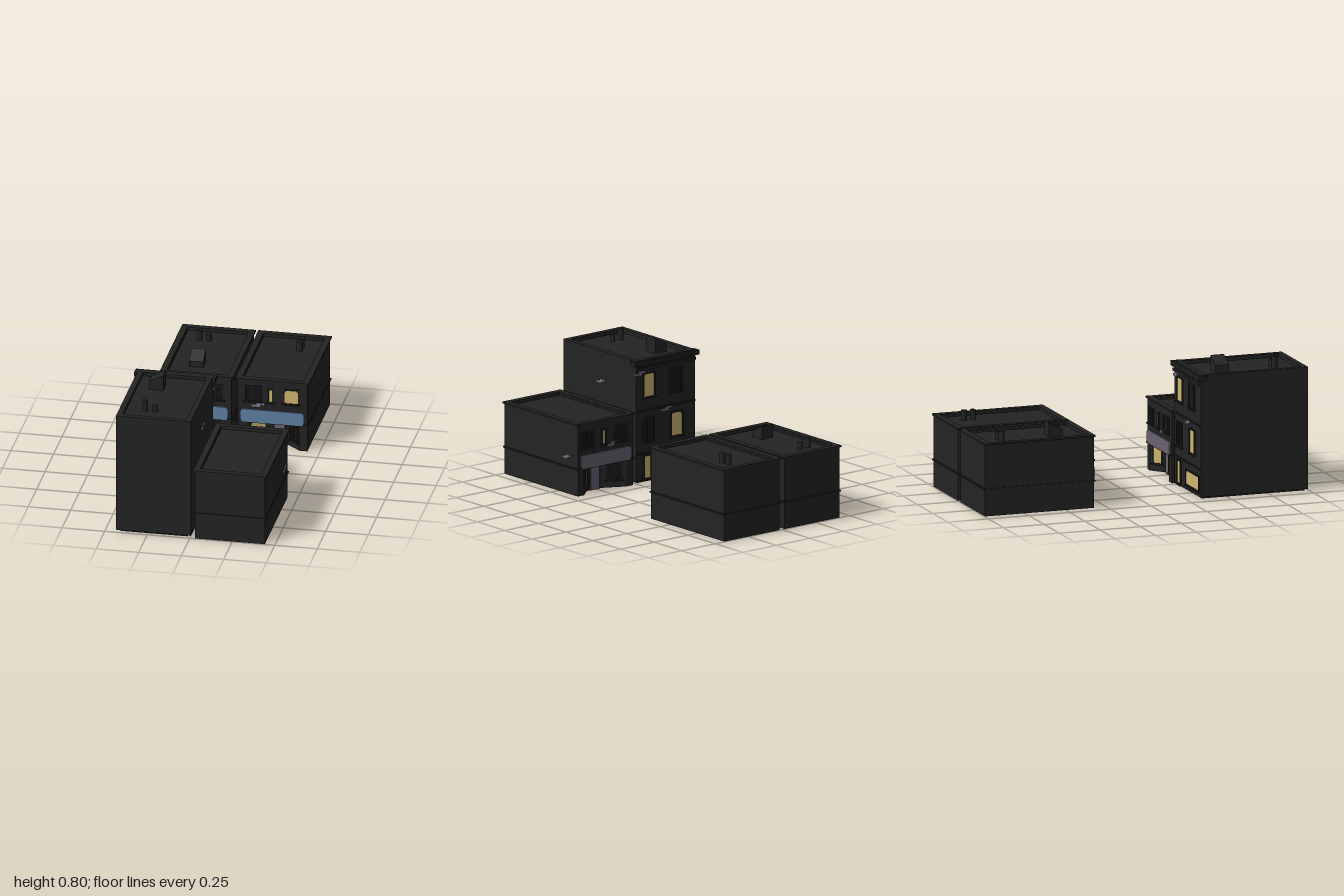
import * as THREE from 'three';

const mat = (name, color) => {
  const m = new THREE.MeshStandardMaterial({ color });
  m.name = name;
  return m;
};

export function createModel() {
  const M = {
    wall: mat('charcoal wall', 0x242424),
    trim: mat('dark trim', 0x1f1f1f),
    glass: mat('dark glass', 0x141414),
    light: mat('lit window', 0xd2b870),
    blue: mat('blue sign', 0x5f82a4),
    purple: mat('mauve sign', 0x6c6472),
    brick: mat('grey brick', 0x7c7a8a),
  };
  const root = new THREE.Group();
  root.name = 'streetBlock';

  const add = (parent, name, geo, m, x = 0, y = 0, z = 0) => {
    const mesh = new THREE.Mesh(geo, m);
    mesh.name = name;
    mesh.position.set(x, y, z);
    parent.add(mesh);
    return mesh;
  };
  const box = (parent, name, m, w, h, d, x, y, z) =>
    add(parent, name, new THREE.BoxGeometry(w, h, d), m, x, y, z);
  const extrude = (shape, depth) =>
    new THREE.ExtrudeGeometry(shape, { depth, bevelEnabled: false, curveSegments: 5 });
  const rect = (C, w, h) => new C([[-w, -h], [w, -h], [w, h], [-w, h]]
    .map(([x, y]) => new THREE.Vector2(x / 2, y / 2)));

  // Rectangular ring lying flat: parapets
  const ring = (parent, name, w, d, t, y, h) => {
    const s = rect(THREE.Shape, w, d);
    s.holes.push(rect(THREE.Path, w - 2 * t, d - 2 * t));
    add(parent, name, extrude(s, h).rotateX(-Math.PI / 2), M.wall, 0, y, 0);
  };

  // Pane outline: square, arched top or clipped rounded corners
  const pane = (w, h, style) => {
    const s = new THREE.Shape(), a = w / 2, b = h / 2, r = Math.min(w, h) * 0.28;
    const lower = style === 'round' ? r : 0, upper = style ? r : 0;
    s.moveTo(-a + lower, -b).lineTo(a - lower, -b);
    if (lower) s.quadraticCurveTo(a, -b, a, -b + r);
    s.lineTo(a, b - upper);
    if (upper) s.quadraticCurveTo(a, b, a - r, b);
    s.lineTo(-a + upper, b);
    if (upper) s.quadraticCurveTo(-a, b, -a, b - r);
    s.lineTo(-a, -b + lower);
    if (lower) s.quadraticCurveTo(-a, -b, -a + r, -b);
    return s;
  };

  // Framed opening with sill, facing +z
  const opening = (parent, name, m, x, y0, y1, w, z, style = '', turn = 0) => {
    const g = new THREE.Group(), h = y1 - y0, t = 0.008;
    g.name = name;
    g.position.set(x, (y0 + y1) / 2, z);
    g.rotation.y = turn;
    const frame = rect(THREE.Shape, w + 2 * t, h + 2 * t);
    frame.holes.push(rect(THREE.Path, w, h));
    add(g, 'frame', extrude(frame, 0.007), M.trim);
    add(g, 'pane', extrude(pane(w, h, style), 0.003), m);
    box(g, 'sill', M.trim, w + 0.03, 0.009, 0.012, 0, -h / 2 - t, 0.006);
    if (m === M.glass) box(g, 'glazingBar', M.trim, 0.004, h, 0.003, 0, 0, 0.004);
    parent.add(g);
  };

  // Two staggered courses of exposed bricks
  const bricks = (parent, x, y, z, turn = 0) => {
    const g = new THREE.Group();
    g.name = 'exposedBricks';
    g.position.set(x, y, z);
    g.rotation.y = turn;
    box(g, 'lowerBricks', M.brick, 0.05, 0.013, 0.014, -0.012, -0.006, 0);
    box(g, 'upperBricks', M.brick, 0.045, 0.012, 0.014, 0.014, 0.006, 0);
    parent.add(g);
  };

  const vent = (x, z, r, y0, y1) =>
    add(root, 'roofVent', new THREE.CylinderGeometry(r, r, y1 - y0, 10), M.wall, x, (y0 + y1) / 2, z);

  // Roof hatch with a sloping top, low end at local -x
  const hatch = (x, z, y0, low, high, turn) => {
    const s = new THREE.Shape([[-0.042, 0], [0.042, 0], [0.042, high - y0], [-0.042, low - y0]]
      .map(([a, b]) => new THREE.Vector2(a, b)));
    add(root, 'roofHatch', extrude(s, 0.084).translate(0, 0, -0.042), M.wall, x, y0, z).rotation.y = turn;
  };

  const building = (name, x, z, turn) => {
    const g = new THREE.Group();
    g.name = name;
    g.position.set(x, 0, z);
    g.rotation.y = turn;
    root.add(g);
    return g;
  };

  // Two-storey shop with a recessed entrance, facing +z
  const shop = (name, x, z, turn, signMat, side) => {
    const g = building(name, x, z, turn), W = 0.412, D = 0.67, F = D / 2, R = 0.065;
    const front = [[-0.206, F], [-0.155, F], [-0.025, F - R], [0.085, F - R], [0.16, F], [0.206, F]];
    const plan = [[-0.206, -F], ...front, [0.206, -F]].map(([a, b]) => new THREE.Vector2(a * side, -b));
    add(g, 'groundFloor', extrude(new THREE.Shape(plan), 0.155).rotateX(-Math.PI / 2), M.wall);
    box(g, 'upperFloor', M.wall, W, 0.255, D, 0, 0.2825, 0);
    box(g, 'floorBand', M.trim, W + 0.012, 0.009, D + 0.012, 0, 0.16, 0);
    ring(g, 'parapet', W, D, 0.03, 0.41, 0.01);
    ring(g, 'parapetCap', W + 0.02, D + 0.012, 0.036, 0.42, 0.01);

    // Sign board
    add(g, 'signBoard', extrude(pane(0.375, 0.08, 'round'), 0.009), signMat, 0, 0.2, F + 0.002);
    box(g, 'signBacking', M.trim, 0.34, 0.06, 0.004, 0, 0.2, F + 0.001);

    // Shopfront on the splayed and recessed faces
    const slope = Math.atan2(R, 0.13);
    const slope2 = -Math.atan2(R, 0.075);
    const a = side > 0;
    opening(g, 'shopWindow', a ? M.light : M.glass, -0.09 * side, 0.05, 0.145, 0.085, F - R / 2, '', slope * side);
    opening(g, 'sideWindow', a ? M.glass : M.light, 0.1225 * side, 0.05, 0.145, 0.05, F - R / 2, '', slope2 * side);
    box(g, 'doorFrame', M.trim, 0.078, 0.148, 0.008, 0.03 * side, 0.074, F - R);
    box(g, 'door', M.purple, 0.06, 0.138, 0.008, 0.03 * side, 0.069, F - R + 0.003);
    return { g, F };
  };

  // Far left and near right shops share one facade
  const shopA = (name, x, z, turn, signMat) => {
    const { g, F } = shop(name, x, z, turn, signMat, -1);
    opening(g, 'upperWindow', M.glass, -0.14, 0.285, 0.37, 0.075, F);
    opening(g, 'narrowWindow', M.light, -0.015, 0.285, 0.365, 0.02, F);
    opening(g, 'upperWindow', M.glass, 0.115, 0.285, 0.37, 0.075, F);
    bricks(g, 0.05, 0.275, F);
    return g;
  };
  shopA('farLeftShop', -0.225, -0.66, 0, M.blue);
  const near = shopA('nearRightShop', 0.235, 0.66, Math.PI, M.purple);
  bricks(near, -0.206, 0.22, 0.235, -Math.PI / 2);

  // Far right shop
  const { g: far, F } = shop('farRightShop', 0.222, -0.66, 0, M.blue, 1);
  opening(far, 'upperWindow', M.glass, -0.115, 0.295, 0.38, 0.08, F);
  opening(far, 'narrowWindow', M.light, -0.01, 0.295, 0.37, 0.02, F);
  opening(far, 'archedWindow', M.light, 0.113, 0.295, 0.375, 0.08, F, 'arch');
  bricks(far, -0.085, 0.272, F);

  // Three-storey house
  const T = building('tallHouse', -0.215, 0.66, Math.PI), TF = 0.33;
  box(T, 'plinth', M.trim, 0.395, 0.014, 0.63, 0, 0.007, 0);
  box(T, 'walls', M.wall, 0.44, 0.698, 0.66, 0, 0.361, 0);
  ring(T, 'parapet', 0.44, 0.66, 0.032, 0.71, 0.022);
  box(T, 'cornice', M.trim, 0.477, 0.028, 0.05, 0, 0.715, TF - 0.007);
  box(T, 'corniceMoulding', M.trim, 0.44, 0.018, 0.012, 0, 0.68, TF + 0.004);
  for (const y of [0.175, 0.43]) box(T, 'floorBand', M.trim, 0.44, 0.01, 0.01, 0, y, TF + 0.002);
  opening(T, 'shopWindow', M.light, 0.0875, 0.045, 0.125, 0.205, TF, 'arch');
  opening(T, 'litDoor', M.light, -0.135, 0.025, 0.155, 0.045, TF);
  opening(T, 'archedWindow', M.light, 0.083, 0.245, 0.38, 0.075, TF, 'arch');
  opening(T, 'upperWindow', M.glass, -0.128, 0.245, 0.38, 0.075, TF);
  opening(T, 'archedWindow', M.light, -0.123, 0.51, 0.645, 0.075, TF, 'arch');
  opening(T, 'upperWindow', M.glass, 0.075, 0.51, 0.645, 0.08, TF);
  bricks(T, 0.01, 0.415, TF);
  bricks(T, -0.19, 0.655, TF);
  bricks(T, -0.22, 0.552, 0.015, -Math.PI / 2);
  bricks(T, -0.22, 0.205, 0.165, -Math.PI / 2);

  // Roof fittings
  hatch(-0.288, 0.5, 0.71, 0.76, 0.804, 0);
  vent(-0.295, 0.835, 0.018, 0.71, 0.78);
  vent(-0.235, 0.835, 0.015, 0.71, 0.75);
  hatch(-0.255, -0.51, 0.41, 0.445, 0.49, Math.PI / 2);
  vent(-0.31, -0.85, 0.017, 0.41, 0.47);
  vent(-0.255, -0.85, 0.017, 0.41, 0.45);
  vent(0.287, -0.86, 0.018, 0.41, 0.47);
  vent(0.287, -0.805, 0.017, 0.41, 0.47);
  return root;
}
